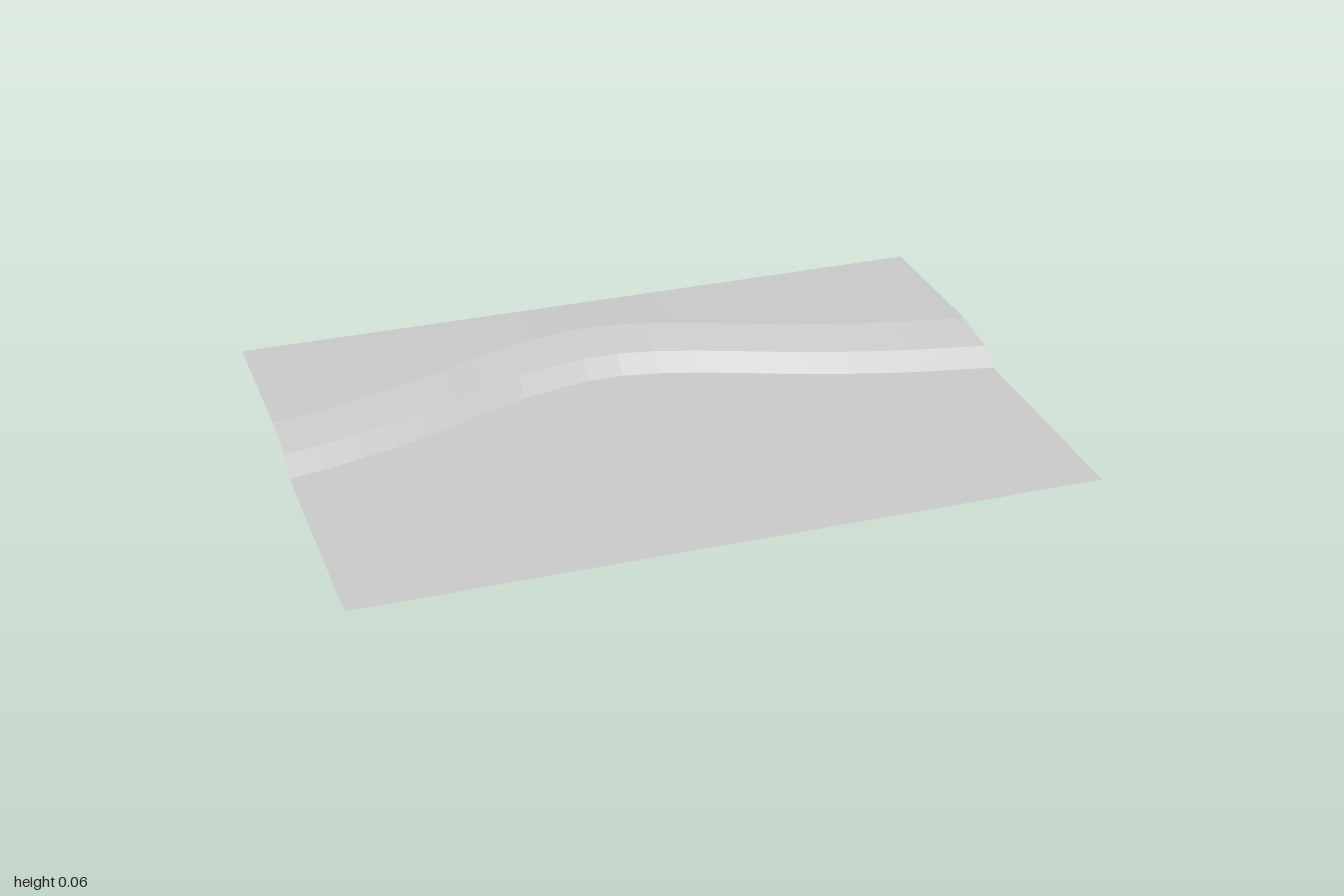
import * as THREE from 'three';

// z of the foot of the bank, at even steps from x = -1 to x = 1
const FOOT = [0, -0.022, -0.047, -0.077, -0.113, -0.153, -0.198, -0.237, -0.262, -0.28, -0.28,
  -0.262, -0.233, -0.198, -0.16, -0.123, -0.092, -0.064, -0.04, -0.02, 0];
const HALF_DEPTH = 0.665;

// Strip between a front and a back line; each line maps the foot z to [y, z]
function strip(name, front, back, material) {
  const position = [], index = [];
  FOOT.forEach((foot, i) => {
    const x = -1 + (2 * i) / (FOOT.length - 1);
    for (const line of [front, back]) {
      const [y, z] = line(foot);
      position.push(x, y, z);
    }
    if (i > 0) {
      const a = 2 * (i - 1);
      index.push(a, a + 2, a + 3, a, a + 3, a + 1);
    }
  });
  const indexed = new THREE.BufferGeometry();
  indexed.setAttribute('position', new THREE.Float32BufferAttribute(position, 3));
  indexed.setIndex(index);
  const geometry = indexed.toNonIndexed(); // separate faces keep the facets flat
  geometry.computeVertexNormals();
  const mesh = new THREE.Mesh(geometry, material);
  mesh.name = name;
  return mesh;
}

export function createModel() {
  const group = new THREE.Group();
  group.name = 'terrainBank';
  const grey = new THREE.MeshStandardMaterial({ color: 0xcccccc, flatShading: true, side: THREE.DoubleSide });
  grey.name = 'plain grey';

  // Lines across the sheet, from front to back
  const frontEdge = () => [0, HALF_DEPTH];
  const foot = (z) => [0, z];
  const brow = (z) => [0.04, z - 0.06];
  const crest = (z) => [0.06, z - 0.203];
  const backEdge = () => [0.05, -HALF_DEPTH];

  group.add(
    strip('lowerGround', frontEdge, foot, grey),
    strip('bankSlope', foot, brow, grey),
    strip('bankShoulder', brow, crest, grey),
    strip('upperGround', crest, backEdge, grey),
  );
  return group;
}
